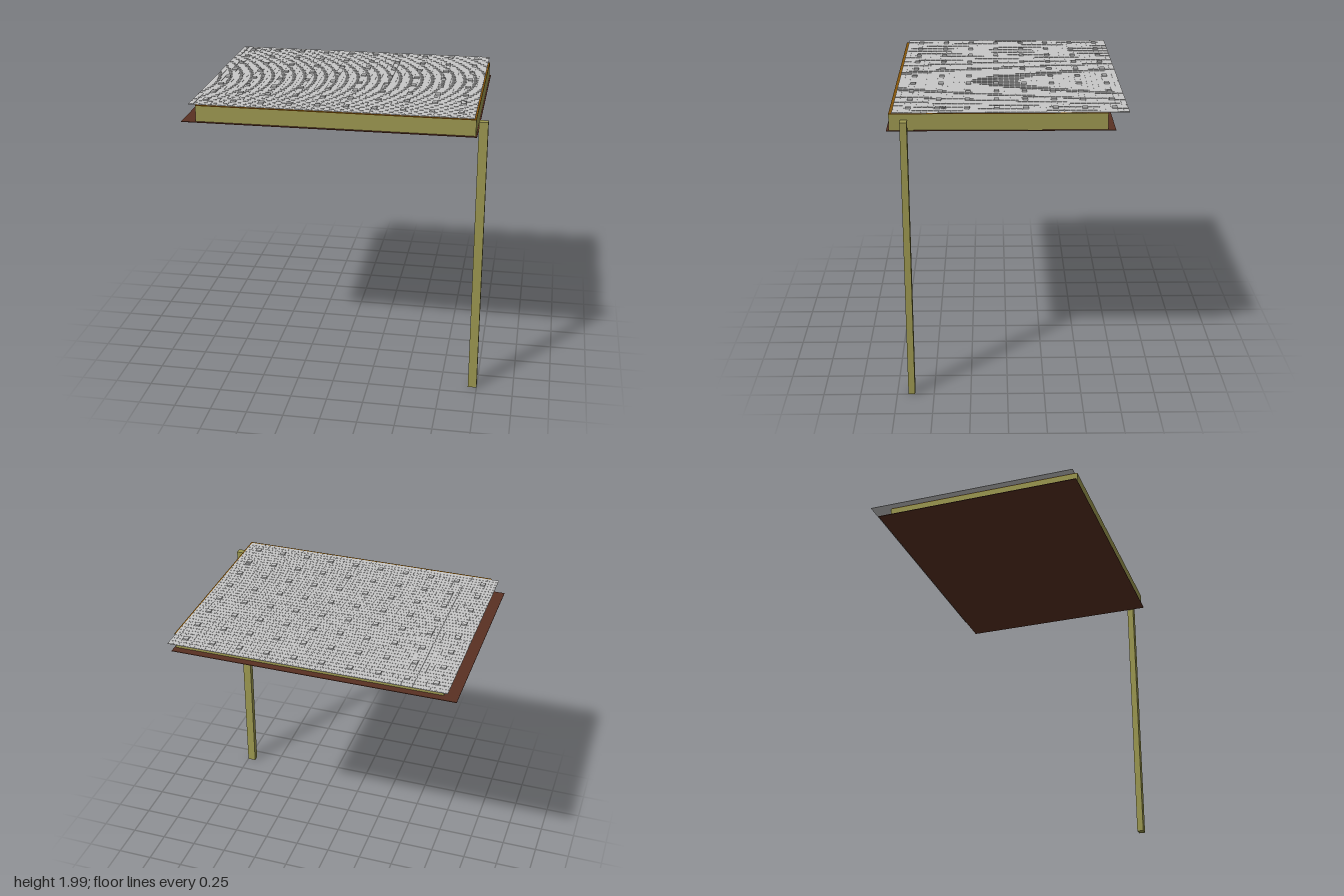
import * as THREE from 'three';
import { mergeGeometries } from 'three/addons/utils/BufferGeometryUtils.js';

const paint = (name, color) => {
  const m = new THREE.MeshStandardMaterial({ color });
  m.name = name;
  return m;
};

// Box geometry given by its limits on each axis
const span = (x0, x1, y0, y1, z0, z1) =>
  new THREE.BoxGeometry(x1 - x0, y1 - y0, z1 - z0)
    .translate((x0 + x1) / 2, (y0 + y1) / 2, (z0 + z1) / 2);

export function createModel() {
  const model = new THREE.Group();
  model.name = 'roofOnPost';
  const olive = paint('olive', 0x9c9850);
  const amber = paint('amberBrown', 0x855408);
  const brown = paint('darkBrown', 0x5a3022);
  const grey = paint('lightGrey', 0xc8c8c8);

  const add = (name, geometry, material) => {
    const mesh = new THREE.Mesh(geometry, material);
    mesh.name = name;
    model.add(mesh);
  };

  // Post at the front left corner
  add('post', span(0.94, 1.0, 0, 1.935, 0.63, 0.675), olive);

  // Deck: ceiling sheet, deep body, and a thin roof board
  add('ceilingSheet', span(-1, 0.937, 1.86, 1.864, -0.685, 0.765), brown);
  add('deckBody', span(-0.905, 0.928, 1.864, 1.969, -0.635, 0.748), olive);
  add('roofBoard', span(-0.905, 0.928, 1.969, 1.972, -0.635, 0.748), amber);

  // Roof covering, shifted back and to the right of the deck
  const x0 = -0.958, z0 = -0.77, pitch = 0.0375;
  add('roofCovering', span(x0, x0 + 50 * pitch, 1.972, 1.975, z0, z0 + 40 * pitch), grey);

  // Fine tiles in shallow relief
  const tiles = [];
  for (let i = 0; i < 50; i++) {
    for (let j = 0; j < 40; j++) {
      const x = x0 + i * pitch, z = z0 + j * pitch;
      tiles.push(span(x + 0.002, x + pitch - 0.002, 1.975, 1.9765, z + 0.002, z + pitch - 0.002));
    }
  }
  add('roofTiles', mergeGeometries(tiles), grey);

  // Raised square studs, ten by eight
  const studs = [];
  for (let i = 0; i < 10; i++) {
    for (let j = 0; j < 8; j++) {
      const x = -0.864 + i * 0.1875, z = -0.682 + j * 0.1875;
      studs.push(span(x - 0.017, x + 0.017, 1.975, 1.986, z - 0.017, z + 0.017));
    }
  }
  add('roofStuds', mergeGeometries(studs), grey);

  // Small slatted vent beside one stud
  const slats = [0, 1, 2].map((i) =>
    span(0.805, 0.84, 1.975, 1.984, 0.39 + i * 0.01, 0.397 + i * 0.01));
  add('ventSlats', mergeGeometries(slats), grey);

  return model;
}
